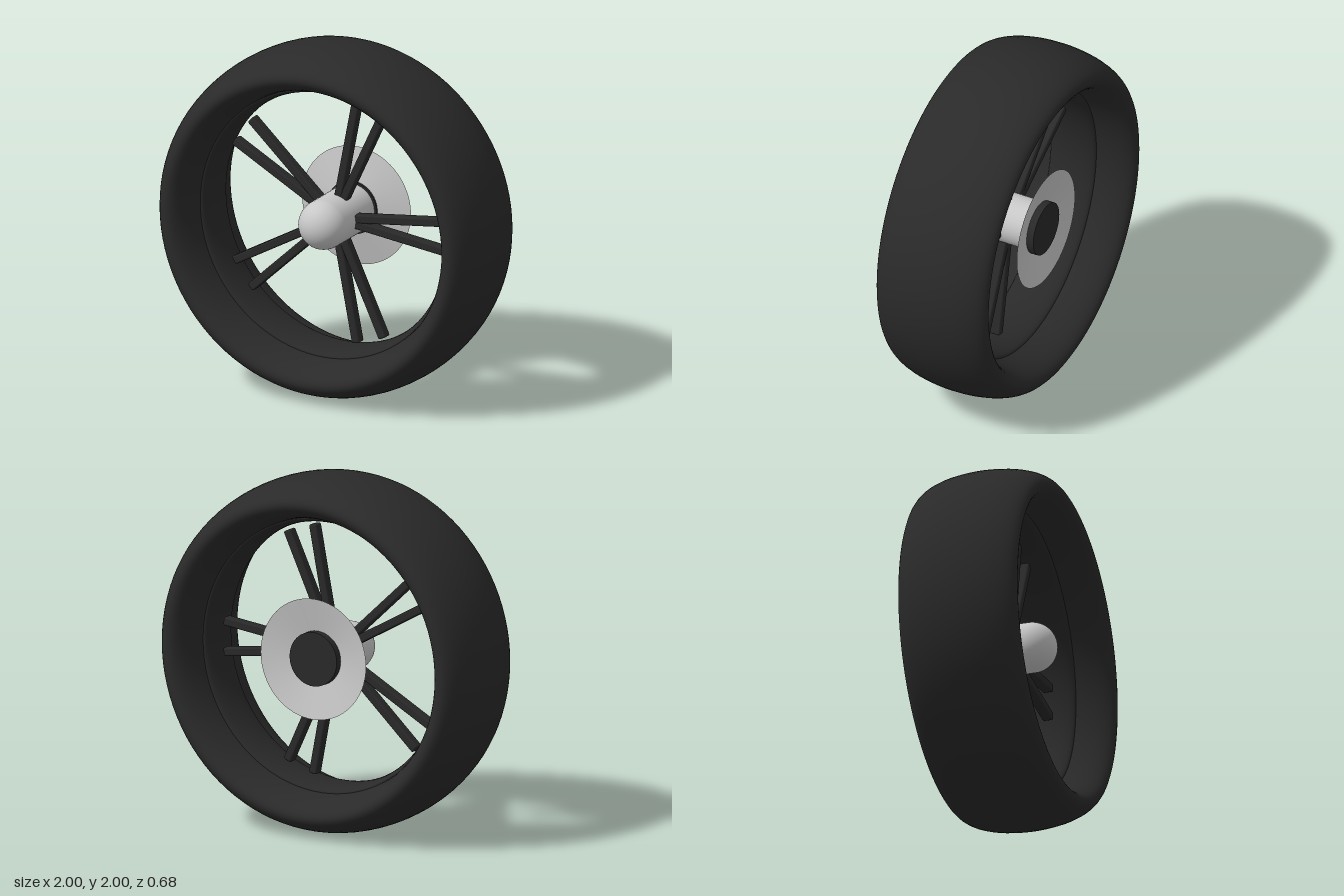
import * as THREE from 'three';
import { RoundedBoxGeometry } from 'three/addons/geometries/RoundedBoxGeometry.js';

export function createModel() {
  const model = new THREE.Group();
  model.name = 'wheel';
  const mat = (name, color, side = THREE.FrontSide) => {
    const m = new THREE.MeshStandardMaterial({ color, side });
    m.name = name;
    return m;
  };
  const rubber = mat('black rubber', 0x2a2a2a);
  const dark = mat('dark metal', 0x292929);
  const silver = mat('silver metal', 0xc8c8c8, THREE.DoubleSide);

  // The wheel turns about z, centred one unit above the ground
  const wheel = new THREE.Group();
  wheel.name = 'wheelAssembly';
  wheel.position.y = 1;
  model.add(wheel);
  const add = (name, geometry, material, parent = wheel) => {
    const mesh = new THREE.Mesh(geometry, material);
    mesh.name = name;
    parent.add(mesh);
    return mesh;
  };
  // Ring around z with an elliptical section
  const ring = (radius, halfThick, halfDepth, segs = 32) =>
    new THREE.TorusGeometry(radius, halfThick, segs, 96).scale(1, 1, halfDepth / halfThick);
  // Lathe turned so that its axis is z; points are [radius, z]
  const turned = (points) =>
    new THREE.LatheGeometry(points.map(([r, z]) => new THREE.Vector2(r, z)), 64).rotateX(Math.PI / 2);

  // Tyre and rim
  add('tyre', ring(0.88, 0.12, 0.342, 48), rubber);
  add('rim', ring(0.77, 0.035, 0.14), dark);

  // Five pairs of spokes
  const spokes = new THREE.Group();
  spokes.name = 'spokes';
  wheel.add(spokes);
  const inner = 0.1, outer = 0.715;
  for (let i = 0; i < 5; i++) {
    for (const side of [-1, 1]) {
      const g = new RoundedBoxGeometry(outer - inner, 0.048, 0.06, 2, 0.01);
      g.translate((inner + outer) / 2, 0, 0);
      add('spoke', g, dark, spokes).rotation.z = (i * Math.PI * 2) / 5 + side * 0.122;
    }
  }

  // Hub barrel with its rounded front cap
  add('hub', new THREE.CylinderGeometry(0.14, 0.14, 0.36, 48, 1, true)
    .rotateX(Math.PI / 2).translate(0, 0, -0.04), silver);
  add('hubCap', new THREE.SphereGeometry(0.14, 48, 16, 0, Math.PI * 2, 0, Math.PI / 2)
    .rotateX(Math.PI / 2).translate(0, 0, 0.14), silver);

  // Shallow brake disc behind the spokes, with a dark core
  add('brakeDisc', turned([[0.34, -0.235], [0.14, -0.193]]), silver);
  add('discCore', new THREE.CylinderGeometry(0.152, 0.152, 0.055, 48)
    .rotateX(Math.PI / 2).translate(0, 0, -0.21), dark);

  return model;
}
